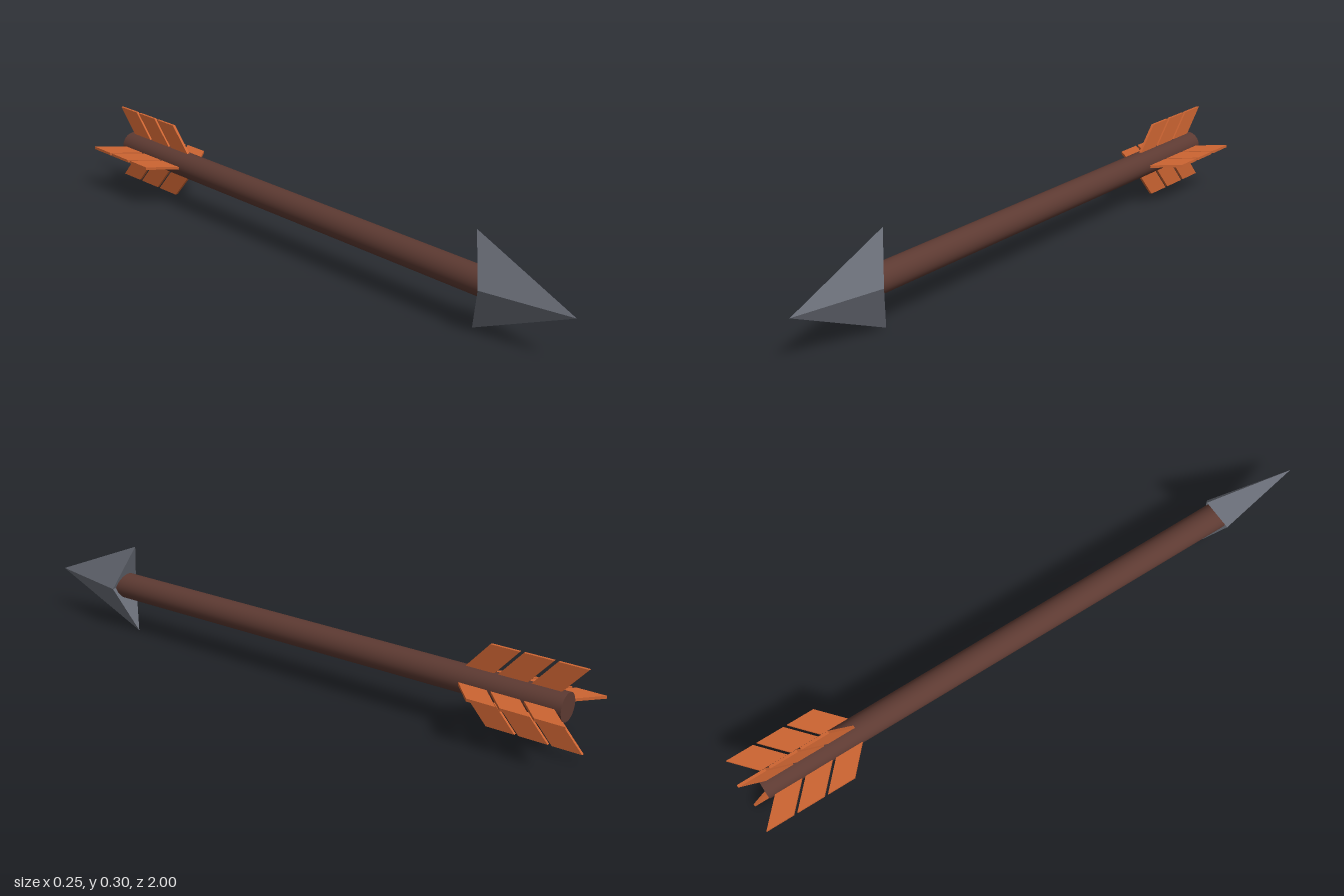
import * as THREE from 'three';

const AXIS_Y = 0.158;

export function createModel() {
  const wood = new THREE.MeshStandardMaterial({ color: 0x5d3a32 });
  wood.name = 'darkWood';
  const steel = new THREE.MeshStandardMaterial({ color: 0x6b6f79, flatShading: true });
  steel.name = 'greySteel';
  const feather = new THREE.MeshStandardMaterial({ color: 0xcc6432 });
  feather.name = 'orangeFeather';

  const arrow = new THREE.Group();
  arrow.name = 'arrow';

  const add = (name, geometry, material, parent = arrow) => {
    const mesh = new THREE.Mesh(geometry, material);
    mesh.name = name;
    parent.add(mesh);
    return mesh;
  };

  // Shaft, raised very slightly toward the tail
  const shaft = add('shaft', new THREE.CylinderGeometry(0.043, 0.043, 1.665, 32).rotateX(Math.PI / 2), wood);
  shaft.position.set(-0.001, 0.159, -0.1125);
  shaft.rotation.x = 0.003;

  // Arrowhead: diamond section with swept-back barbs and a notched rear
  const tip = [0, 0, 1];
  const notch = [0, 0, 0.71];
  const ring = [[0.056, 0, 0.71], [0.002, 0.148, 0.65], [-0.056, 0, 0.71], [0, -0.152, 0.65]];
  const points = [];
  ring.forEach((p, i) => {
    const q = ring[(i + 1) % ring.length];
    points.push(...tip, ...p, ...q, ...notch, ...q, ...p);
  });
  const headGeometry = new THREE.BufferGeometry();
  headGeometry.setAttribute('position', new THREE.Float32BufferAttribute(points, 3));
  headGeometry.computeVertexNormals();
  add('arrowhead', headGeometry, steel).position.set(0.001, 0.156, 0);

  // One slanted vane, drawn as radius against length and laid flat
  const inner = 0.03, outer = 0.126, sweep = 0.086, length = 0.092, thickness = 0.009;
  const vaneShape = new THREE.Shape([
    new THREE.Vector2(inner, sweep),
    new THREE.Vector2(outer, 0),
    new THREE.Vector2(outer, length),
    new THREE.Vector2(inner, length + sweep),
  ]);
  const vaneGeometry = new THREE.ExtrudeGeometry(vaneShape, { depth: thickness, bevelEnabled: false });
  vaneGeometry.translate(0, 0, -thickness / 2).rotateX(Math.PI / 2);

  // Four fletchings of three vanes each
  ['left', 'top', 'right', 'bottom'].forEach((side, k) => {
    const fletching = new THREE.Group();
    fletching.name = side + 'Fletching';
    fletching.position.set(-0.001, AXIS_Y + 0.003, 0);
    fletching.rotation.z = (k * Math.PI) / 2;
    for (let i = 0; i < 3; i++) {
      add('vane', vaneGeometry, feather, fletching).position.z = -1 + i * 0.104;
    }
    arrow.add(fletching);
  });

  return arrow;
}
